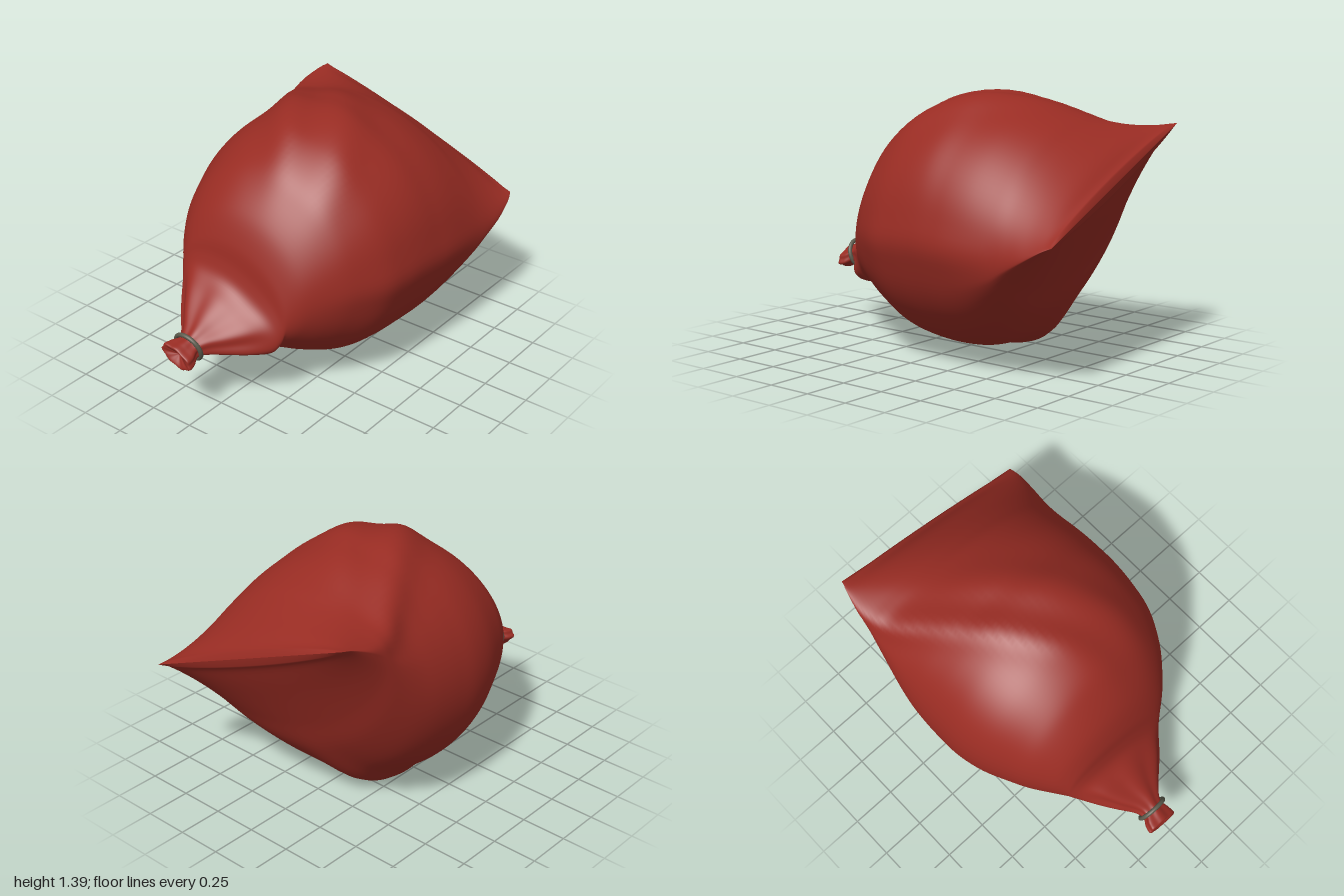
import * as THREE from 'three';

const TILT = -0.379; // the flat seam slopes down towards +x
const AROUND = 112, ALONG = 132;

// sack sections from tied mouth to flat seam: z, xmin, xmax, ymin, ymax
const SECTIONS = [
  [0.96, -0.09, -0.08, 0.385, 0.39],
  [0.99, -0.17, 0.0, 0.33, 0.435],
  [0.95, -0.17, 0.005, 0.325, 0.445],
  [0.9, -0.145, -0.01, 0.345, 0.455],
  [0.85, -0.165, 0.02, 0.345, 0.485],
  [0.78, -0.225, 0.09, 0.335, 0.535],
  [0.7, -0.29, 0.175, 0.32, 0.6],
  [0.62, -0.355, 0.25, 0.305, 0.67],
  [0.585, -0.385, 0.28, 0.3, 0.75],
  [0.56, -0.405, 0.305, 0.295, 0.86],
  [0.5, -0.455, 0.375, 0.27, 1.0],
  [0.4, -0.525, 0.465, 0.21, 1.13],
  [0.3, -0.575, 0.535, 0.15, 1.22],
  [0.15, -0.64, 0.61, 0.08, 1.3],
  [0, -0.675, 0.64, 0.048, 1.345],
  [-0.15, -0.682, 0.655, 0.045, 1.36],
  [-0.3, -0.68, 0.664, 0.075, 1.34],
  [-0.45, -0.668, 0.672, 0.15, 1.315],
  [-0.6, -0.65, 0.68, 0.3, 1.28],
  [-0.7, -0.635, 0.685, 0.455, 1.255],
  [-0.8, -0.62, 0.685, 0.59, 1.238],
  [-0.9, -0.595, 0.67, 0.7, 1.23],
  [-0.96, -0.578, 0.648, 0.74, 1.23],
];

// raised folds along the sack: angle, height, width, drift of the angle along z, fading range at the back
const FOLDS = [
  [-1.87, 0.1, 0.16, 0, 0.3, 0.75],
  [1.74, 0.075, 0.2, 1, 0.5, 0.95],
  [1.25, 0.055, 0.25, 1, 0.3, 0.75],
  [-0.05, 0.025, 0.15, 0, 0.3, 0.75],
];

const ramp = THREE.MathUtils.smoothstep;

function sackGeometry() {
  const curve = (pick) => new THREE.CatmullRomCurve3(SECTIONS.map(pick), false, 'catmullrom', 0.5);
  const widths = curve((s) => new THREE.Vector3(s[0], s[1], s[2]));
  const heights = curve((s) => new THREE.Vector3(s[3], s[4], 0));
  const cos = Math.cos(TILT), sin = Math.sin(TILT);
  const c2 = cos * cos, s2 = sin * sin;
  const positions = [], index = [];

  for (let i = 0; i <= ALONG; i++) {
    const w = widths.getPoint(i / ALONG), h = heights.getPoint(i / ALONG);
    const z = w.x;
    const cx = (w.y + w.z) / 2, cy = (h.x + h.y) / 2;
    const hx = ((w.z - w.y) / 2) ** 2, hy = ((h.y - h.x) / 2) ** 2;
    // half axes of the tilted section that fills this width and height
    const a = Math.sqrt(Math.max(0, (c2 * hx - s2 * hy) / (c2 - s2)));
    const b = i === ALONG ? 0 : Math.sqrt(Math.max(0.000004, (c2 * hy - s2 * hx) / (c2 - s2)));
    const back = ramp(-z, 0.3, 0.92);
    const sharp = 1 + 0.4 * back;
    const front = ramp(-z, -0.55, -0.1);
    const pleat = 0.05 * ramp(z, 0.56, 0.75);

    for (let j = 0; j < AROUND; j++) {
      const phi = (j / AROUND) * Math.PI * 2;
      const rise = Math.sin(phi);
      let k = 1 + pleat * Math.cos(7 * phi + 0.6);
      for (const [at, size, width, drift, from, to] of FOLDS) {
        const d = phi + TILT - at + drift * z;
        const turn = Math.atan2(Math.sin(d), Math.cos(d));
        k += front * (1 - ramp(-z, from, to)) * size * Math.exp(-((turn / width) ** 2));
      }
      const u = k * a * Math.cos(phi);
      const v = k * b * Math.sign(rise) * Math.abs(rise) ** sharp;
      positions.push(cx + u * cos - v * sin, cy + u * sin + v * cos, z - 0.06 * u * back);
      if (i < ALONG) {
        const p = i * AROUND + j, q = i * AROUND + ((j + 1) % AROUND);
        index.push(p, p + AROUND, q, q, p + AROUND, q + AROUND);
      }
    }
  }
  const geometry = new THREE.BufferGeometry();
  geometry.setAttribute('position', new THREE.Float32BufferAttribute(positions, 3));
  geometry.setIndex(index);
  geometry.computeVertexNormals();
  return geometry;
}

export function createModel() {
  const group = new THREE.Group();
  group.name = 'tiedSack';

  const red = new THREE.MeshStandardMaterial({ color: 0x992c23, side: THREE.DoubleSide });
  red.name = 'red cloth';
  const grey = new THREE.MeshStandardMaterial({ color: 0x5c5a4c });
  grey.name = 'grey metal';

  // cloth body with gathered mouth and flat back seam
  const sack = new THREE.Mesh(sackGeometry(), red);
  sack.name = 'sack';
  group.add(sack);

  // ring holding the mouth shut
  const ring = new THREE.Mesh(new THREE.TorusGeometry(0.08, 0.012, 12, 40), grey);
  ring.name = 'neckRing';
  ring.position.set(-0.078, 0.402, 0.895);
  ring.rotation.x = 0.3;
  group.add(ring);

  return group;
}
